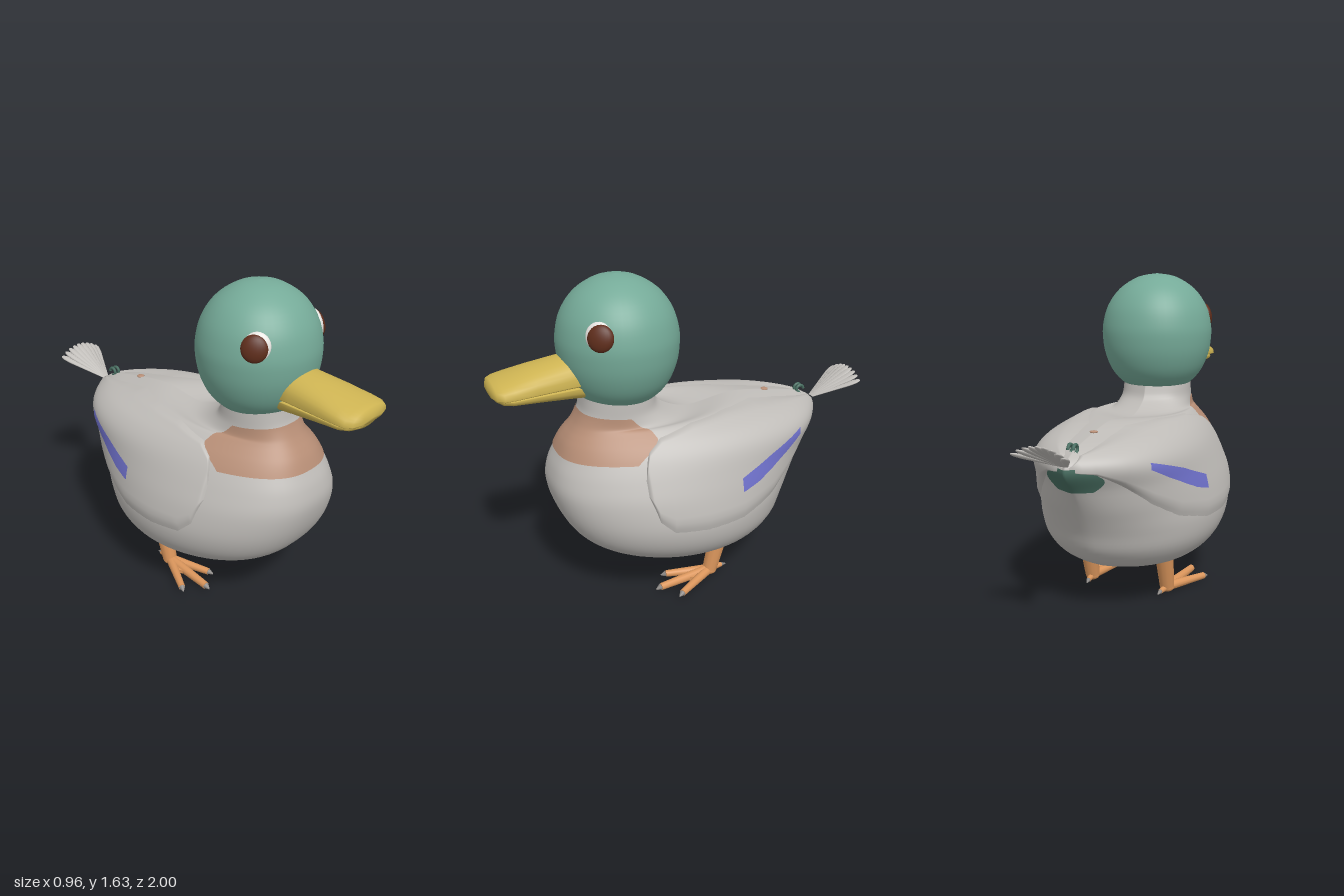
import * as THREE from 'three';

const paint = (name, color) => Object.assign(new THREE.MeshStandardMaterial({ color }), { name });
const grey = paint('feather grey', 0xbfbcb8);
const green = paint('head green', 0x75aa98);
const darkGreen = paint('tail green', 0x486e61);
const tan = paint('chest tan', 0xb68d75);
const yellow = paint('bill yellow', 0xcdb352);
const orange = paint('leg orange', 0xdb965c);
const brown = paint('eye brown', 0x5e2d1b);
const white = paint('eye white', 0xe6e4e0);
const blue = paint('wing blue', 0x6f71cb);
const clawGrey = paint('claw grey', 0x8c8885);

// Indexed surface from fn(row, col), both 0..1
function grid(rows, cols, fn, { closed = false, flip = false } = {}) {
  const pos = [], idx = [], n = closed ? cols : cols + 1;
  for (let i = 0; i <= rows; i++)
    for (let j = 0; j < n; j++) pos.push(...fn(i / rows, j / cols).toArray());
  for (let i = 0; i < rows; i++)
    for (let j = 0; j < cols; j++) {
      const k = (j + 1) % n;
      const a = i * n + j, b = i * n + k, c = b + n, d = a + n;
      if (flip) idx.push(a, c, b, a, d, c);
      else idx.push(a, b, c, a, c, d);
    }
  const g = new THREE.BufferGeometry();
  g.setAttribute('position', new THREE.Float32BufferAttribute(pos, 3));
  g.setIndex(idx);
  g.computeVertexNormals();
  return g;
}

// Body rings, bottom to neck: front y, front z, back y, back z, half width
const rings = [
  [0.172, 0, 0.172, 0, 0], [0.2, 0.34, 0.19, -0.21, 0.24],
  [0.27, 0.51, 0.25, -0.39, 0.37], [0.36, 0.635, 0.34, -0.49, 0.442],
  [0.48, 0.71, 0.45, -0.54, 0.468], [0.62, 0.748, 0.56, -0.6, 0.45],
  [0.72, 0.735, 0.69, -0.68, 0.415], [0.8, 0.7, 0.8, -0.76, 0.38],
  [0.85, 0.675, 0.87, -0.69, 0.338], [0.885, 0.65, 0.915, -0.5, 0.29],
  [0.915, 0.625, 0.948, -0.25, 0.24], [0.95, 0.6, 0.918, 0, 0.205],
  [1.0, 0.575, 0.97, 0.15, 0.188], [1.05, 0.565, 1.04, 0.19, 0.183],
  [1.1, 0.56, 1.1, 0.2, 0.18],
];
const last = rings.length - 1;
const curve = (pts) => new THREE.CatmullRomCurve3(pts, false, 'catmullrom', 0.5);
const frontCurve = curve(rings.map((r) => new THREE.Vector3(r[4], r[0], r[1])));
const backCurve = curve(rings.map((r) => new THREE.Vector3(0, r[2], r[3])));

// Point on the body at ring v and angle a (0 = front, PI = tail)
function bodyPoint(v, a) {
  const t = THREE.MathUtils.clamp(v / last, 0, 1);
  const f = frontCurve.getPoint(t), b = backCurve.getPoint(t);
  const s = Math.sin(a), c = Math.cos(a), k = (1 + c) / 2;
  // Full breast, and a tail that narrows towards the upper rings
  const pinch = 0.15 + 0.65 * THREE.MathUtils.smoothstep(v, 5, 7);
  const power = c > 0 ? 1 - 0.2 * c : 1 + pinch * c ** 4;
  const x = f.x * Math.sign(s) * Math.abs(s) ** power;
  return new THREE.Vector3(x, b.y + (f.y - b.y) * k, b.z + (f.z - b.z) * k);
}
// Same point lifted along the surface normal
function lifted(v, a, d) {
  const e = 0.03;
  const da = bodyPoint(v, a + e).sub(bodyPoint(v, a - e));
  const dv = bodyPoint(v + e, a).sub(bodyPoint(v - e, a));
  return bodyPoint(v, a).addScaledVector(da.cross(dv).normalize(), d);
}
function angleAt(v, z) {
  const f = frontCurve.getPoint(v / last).z, b = backCurve.getPoint(v / last).z;
  return Math.acos(THREE.MathUtils.clamp((2 * z - f - b) / (f - b), -1, 1));
}
// Linear lookup in a list of rows, u in 0..1
function sample(list, u) {
  const p = u * (list.length - 1), i = Math.min(Math.floor(p), list.length - 2);
  return list[i].map((c, k) => c + (list[i + 1][k] - c) * (p - i));
}
// Side patch on the body; columns are z, lower ring, upper ring
function sidePatch(columns, side, lift, rows = 24, cols = 54) {
  return grid(rows, cols, (t, s) => {
    const [z, lo, hi] = sample(columns, s);
    const v = lo + (hi - lo) * t;
    const p = lifted(v, angleAt(v, z), lift(s, t));
    p.x *= side;
    return p;
  }, { flip: side < 0 });
}
// Loft along z; sections are z, half width, y, height above, depth below
function loft(sections) {
  return grid(sections.length - 1, 32, (r, c) => {
    const [z, w, y, up, down] = sections[Math.round(r * (sections.length - 1))];
    const a = c * Math.PI * 2, s = Math.sin(a);
    const h = Math.sign(s) * Math.abs(s) ** 0.8;
    return new THREE.Vector3(w * Math.cos(a), y + h * (s > 0 ? up : down), z);
  }, { closed: true });
}

export function createModel() {
  const model = new THREE.Group();
  model.name = 'duck';
  const add = (name, geometry, material, parent = model) => {
    const m = new THREE.Mesh(geometry, material);
    m.name = name;
    parent.add(m);
    return m;
  };
  const limb = (name, from, to, r0, r1, material, parent) => {
    const p = new THREE.Vector3(...from), q = new THREE.Vector3(...to), d = q.clone().sub(p);
    const m = add(name, new THREE.CylinderGeometry(r1, r0, d.length(), 12), material, parent);
    m.position.copy(p).add(q).multiplyScalar(0.5);
    m.quaternion.setFromUnitVectors(new THREE.Vector3(0, 1, 0), d.normalize());
  };

  // Body with neck, chest and under-tail patches
  add('body', grid(70, 72, (r, c) => bodyPoint(r * last, c * Math.PI * 2), { closed: true }), grey);
  const chestBack = [[0.4], [0.32], [0.28], [0.3], [0.33], [0.38]];
  add('chestPatch', grid(24, 48, (r, c) => {
    const v = 7 + 5 * r, a = angleAt(v, sample(chestBack, r)[0]);
    return lifted(v, a * (2 * c - 1), 0.005);
  }), tan);
  add('underTailPatch', grid(10, 24, (r, c) => {
    const half = 0.25 + 0.25 * Math.sin(Math.PI * (0.1 + 0.8 * r));
    return lifted(6.05 + 1.1 * r, Math.PI + half * (2 * c - 1), 0.008);
  }), darkGreen);
  const spot = add('backSpot', new THREE.SphereGeometry(0.02, 16, 8), tan);
  spot.scale.y = 0.3;
  spot.position.set(0, 0.925, -0.455);

  // Head
  const profile = [[0, 1.045], [0.15, 1.047], [0.198, 1.07], [0.247, 1.13], [0.28, 1.21], [0.294, 1.29],
    [0.293, 1.37], [0.265, 1.47], [0.2, 1.56], [0.1, 1.622], [0, 1.64]].map((p) => new THREE.Vector2(...p));
  const headPoints = new THREE.SplineCurve(profile).getPoints(40);
  headPoints.forEach((p) => { p.x = Math.max(p.x, 0); });
  add('head', new THREE.LatheGeometry(headPoints, 48), green).position.z = 0.365;

  // Bill
  add('upperBill', loft([[0.5, 0, 1.17, 0, 0], [0.5, 0.125, 1.17, 0.12, 0.02], [0.64, 0.13, 1.17, 0.116, 0.02],
    [0.8, 0.146, 1.168, 0.09, 0.018], [0.9, 0.154, 1.165, 0.07, 0.015], [0.95, 0.152, 1.163, 0.06, 0.015],
    [0.98, 0.128, 1.163, 0.052, 0.015], [0.994, 0.08, 1.165, 0.035, 0.012], [0.997, 0, 1.17, 0, 0]]), yellow);
  add('lowerBill', loft([[0.5, 0, 1.15, 0, 0], [0.5, 0.118, 1.15, 0.01, 0.082], [0.64, 0.124, 1.15, 0.01, 0.068],
    [0.8, 0.134, 1.15, 0.01, 0.052], [0.91, 0.142, 1.15, 0.01, 0.04], [0.95, 0.125, 1.15, 0.01, 0.034],
    [0.972, 0.07, 1.148, 0.008, 0.025], [0.976, 0, 1.14, 0, 0]]), yellow);

  // Paired parts
  const wingColumns = [[0.38, 5.6, 6.2], [0.34, 4.5, 8], [0.27, 4, 9.2], [0.1, 3.9, 10], [-0.1, 4, 10],
    [-0.3, 4.5, 9.6], [-0.45, 5.3, 9], [-0.58, 6.2, 8.4], [-0.68, 6.8, 7.9], [-0.75, 7, 7.2]];
  const stripeColumns = [[-0.09, 5.2, 5.75], [-0.19, 5.45, 6.1], [-0.28, 5.8, 6.45],
    [-0.39, 6.3, 6.8], [-0.49, 6.8, 7.1]];
  const wingLift = (s, t) => 0.016 * Math.min(1, 12 * Math.min(t, 1 - t), 25 * Math.min(s, 1 - s)) - 0.002;
  for (const side of [1, -1]) {
    const label = side > 0 ? 'left' : 'right';
    add(label + 'Wing', sidePatch(wingColumns, side, wingLift), grey);
    add(label + 'WingStripe', sidePatch(stripeColumns, side, () => 0.019, 8, 24), blue);

    const eye = new THREE.Group();
    eye.name = label + 'Eye';
    eye.position.set(side * 0.221, 1.418, 0.525);
    eye.lookAt(side * 0.46, 1.49, 0.69);
    model.add(eye);
    const rim = add('eyeWhite', new THREE.SphereGeometry(0.062, 24, 16), white, eye);
    rim.scale.set(1, 1.05, 0.35);
    rim.position.set(-side * 0.007, 0.006, 0);
    const iris = add('iris', new THREE.SphereGeometry(0.061, 24, 16), brown, eye);
    iris.scale.set(1, 1.03, 0.45);
    iris.position.set(side * 0.002, -0.002, 0.006);

    const leg = new THREE.Group();
    leg.name = label + 'Leg';
    model.add(leg);
    limb('shin', [side * 0.215, 0.23, -0.08], [side * 0.215, 0.035, -0.03], 0.048, 0.038, orange, leg);
    const heel = [side * 0.215, 0.034, -0.03];
    const ankle = add('ankle', new THREE.SphereGeometry(0.038, 16, 12), orange, leg);
    ankle.position.set(...heel);
    ankle.scale.y = 0.7;
    const toes = [[0.155, 0.2, 0.025], [0.25, 0.27, 0.027], [0.345, 0.19, 0.025], [0.205, -0.105, 0.018]];
    for (const [x, z, r] of toes) {
      const tip = [side * x, 0.032, z];
      limb('toe', heel, tip, r, r * 0.7, orange, leg);
      const end = new THREE.Vector3(...tip).sub(new THREE.Vector3(...heel)).normalize();
      limb('claw', tip, [tip[0] + end.x * 0.028, 0.026, z + end.z * 0.028], r * 0.65, 0.003, clawGrey, leg);
    }
    // Short web between the front toes
    const outline = [[0.215, -0.03], [0.18, 0.1], [0.21, 0.08], [0.235, 0.14], [0.265, 0.08], [0.3, 0.11]];
    const web = new THREE.Shape(outline.map(([x, z]) => new THREE.Vector2(side * x, z)));
    const webGeometry = new THREE.ExtrudeGeometry(web, { depth: 0.02, bevelEnabled: false });
    add('web', webGeometry.rotateX(Math.PI / 2), orange, leg).position.y = 0.042;

    // Small curl above the tail
    const curl = add(label + 'TailCurl', new THREE.TorusGeometry(0.02, 0.008, 8, 20, Math.PI * 1.5), darkGreen);
    curl.rotation.y = Math.PI / 2;
    curl.position.set(side * 0.013, 0.89, -0.675);
  }

  // Arched fan of tail feathers
  const quill = [[0, 0], [0.008, 0], [0.014, 0.1], [0.021, 0.21], [0.018, 0.25], [0.01, 0.27], [0, 0.275]]
    .map((p) => new THREE.Vector2(...p));
  for (let i = -4; i <= 4; i++) {
    const g = new THREE.LatheGeometry(quill, 10).scale(1, 1, 0.45);
    g.rotateZ(-i * 0.105).rotateX(-Math.PI / 3 - 0.008 * i * i);
    add('tailFeather', g, grey).position.set(i * 0.003, 0.83, -0.76);
  }
  return model;
}
